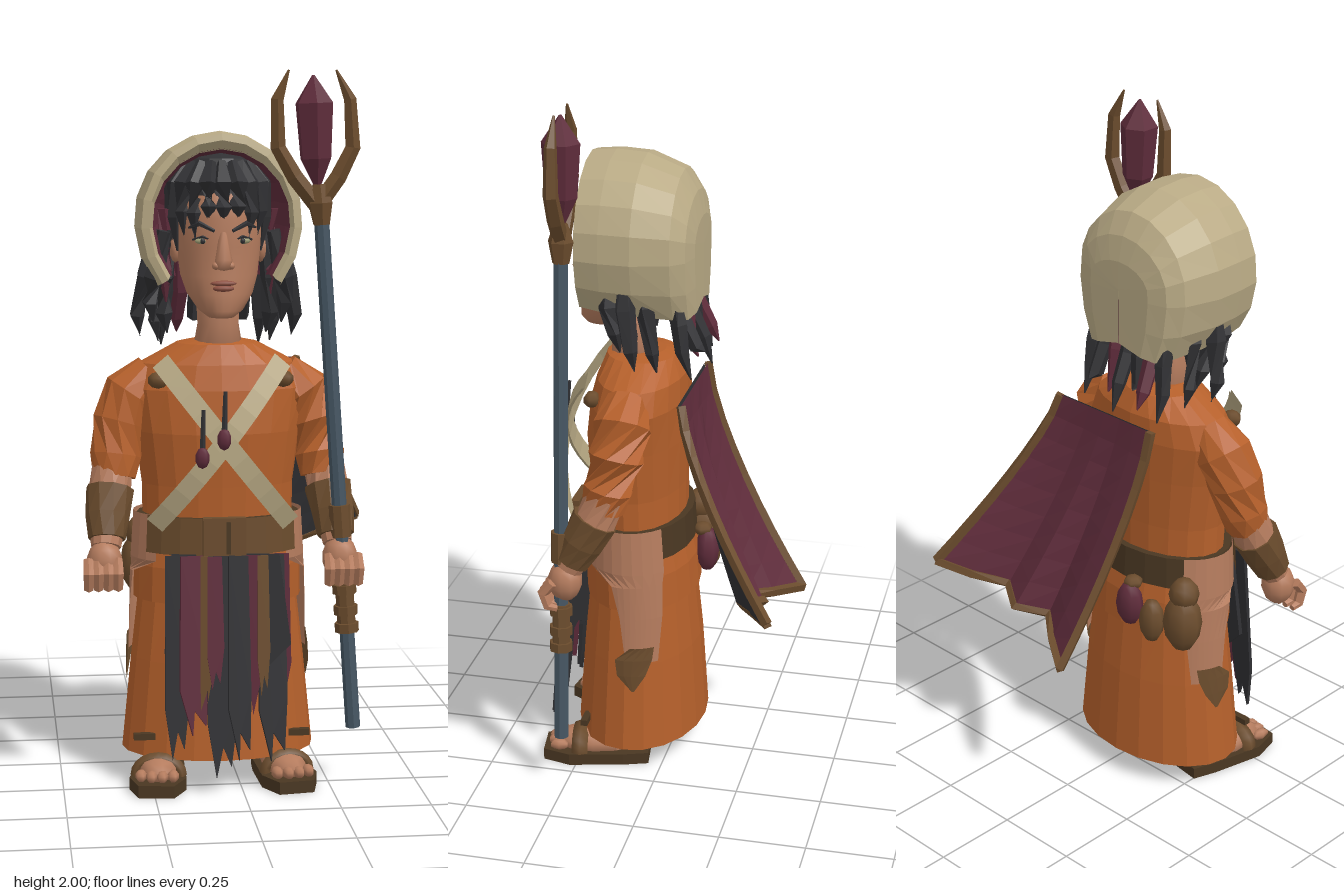
import * as THREE from 'three';

const V = (x, y, z) => new THREE.Vector3(x, y, z);
const CX = -0.05, CZ = 0.1; // body axis
const rad = THREE.MathUtils.degToRad;

// Skin a list of cross-section rows into one surface
function loft(rows, { closed = true, cap = true, smooth = false } = {}) {
  const n = rows[0].length, pos = [], idx = [];
  rows.forEach(r => r.forEach(p => pos.push(p.x, p.y, p.z)));
  const cols = closed ? n : n - 1;
  for (let i = 0; i < rows.length - 1; i++) for (let j = 0; j < cols; j++) {
    const a = i * n + j, b = i * n + (j + 1) % n;
    idx.push(a, b, b + n, a, b + n, a + n);
  }
  if (closed && cap) [0, rows.length - 1].forEach((i, end) => {
    const c = rows[i].reduce((s, p) => s.add(p), V(0, 0, 0)).divideScalar(n), k = pos.length / 3;
    pos.push(c.x, c.y, c.z);
    for (let j = 0; j < n; j++) {
      const a = i * n + j, b = i * n + (j + 1) % n;
      idx.push(...(end ? [a, b, k] : [b, a, k]));
    }
  });
  let g = new THREE.BufferGeometry();
  g.setAttribute('position', new THREE.Float32BufferAttribute(pos, 3));
  g.setIndex(idx);
  if (!smooth) g = g.toNonIndexed();
  g.computeVertexNormals();
  return g;
}

// Horizontal body sections: [y, halfWidth, zFront, zBack, startDeg, endDeg]
function body(sections, n = 20, opt = {}) {
  const closed = sections[0].length === 4;
  return loft(sections.map(([y, w, zf, zb, a0 = 0, a1 = 360]) =>
    Array.from({ length: closed ? n : n + 1 }, (_, j) => {
      const a = rad(a0 + (a1 - a0) * j / n);
      return V(CX + w * Math.sin(a), y, (zf + zb) / 2 + (zf - zb) / 2 * Math.cos(a));
    })), { closed, ...opt });
}

// Tapered sweep through points with one radius per point
function limb(pts, radii, n = 8, smooth = false) {
  return loft(pts.map((p, i) => {
    const t = pts[Math.min(i + 1, pts.length - 1)].clone().sub(pts[Math.max(i - 1, 0)]).normalize();
    const q = new THREE.Quaternion().setFromUnitVectors(V(0, 1, 0), t);
    return Array.from({ length: n }, (_, j) => {
      const a = j / n * Math.PI * 2;
      return V(Math.sin(a) * radii[i], 0, Math.cos(a) * radii[i]).applyQuaternion(q).add(p);
    });
  }), { smooth });
}

function ball(x, y, z, rx, ry, rz, n = 10) {
  return new THREE.SphereGeometry(1, n, Math.ceil(n * 0.7)).scale(rx, ry, rz).translate(x, y, z);
}
const box = (x, y, z, w, h, d) => new THREE.BoxGeometry(w, h, d).translate(x, y, z);

export function createModel() {
  const root = new THREE.Group();
  root.name = 'staffBearer';
  const mats = {};
  Object.entries({
    skin: 0xb57c5e, orangeCloth: 0xb5602b, cream: 0xb9aa85, brown: 0x6b4c2d, darkLeather: 0x4a3722,
    charcoal: 0x303033, maroon: 0x5f2c3b, slate: 0x465663, lip: 0x8c4f40, eye: 0x9b9a72,
  }).forEach(([name, color]) => {
    mats[name] = new THREE.MeshStandardMaterial({ color, side: THREE.DoubleSide });
    mats[name].name = name;
  });
  const add = (name, mat, geo) => {
    const m = new THREE.Mesh(geo, mats[mat]);
    m.name = name;
    root.add(m);
    return m;
  };

  // Tunic, skirt and hip flap
  add('tunic', 'orangeCloth', body([[0.66, 0.212, 0.235, -0.03], [0.85, 0.215, 0.245, -0.03], [1.0, 0.235, 0.255, -0.035],
    [1.12, 0.255, 0.24, -0.037], [1.19, 0.22, 0.222, -0.032], [1.245, 0.115, 0.2, -0.005], [1.255, 0.065, 0.17, 0.03]]));
  add('skirt', 'orangeCloth', body([[0.08, 0.275, 0.29, -0.092], [0.35, 0.248, 0.27, -0.075], [0.55, 0.225, 0.25, -0.055], [0.68, 0.215, 0.24, -0.04]]));
  add('hipFlap', 'orangeCloth', body([[0.52, 0.24, 0.262, -0.07], [0.62, 0.238, 0.262, -0.062], [0.69, 0.225, 0.25, -0.045]]));
  // Belt
  add('belt', 'darkLeather', body([[0.67, 0.237, 0.272, -0.056], [0.765, 0.23, 0.268, -0.05]]));
  add('beltPlate', 'brown', body([[0.665, 0.243, 0.285, -0.06, -60, 60], [0.77, 0.238, 0.283, -0.056, -60, 60]], 8));
  add('buckle', 'brown', box(CX, 0.718, 0.293, 0.12, 0.115, 0.025));
  add('buckleGap', 'darkLeather', box(CX + 0.01, 0.72, 0.307, 0.012, 0.09, 0.006)).rotation.z = 0;

  for (const s of [-1, 1]) {
    const side = s > 0 ? 'left' : 'right', P = (x, y, z) => V(CX + s * x, y, z);
    const arc = (y, w, zf, zb, a, b) => s > 0 ? [y, w, zf, zb, a, b] : [y, w, zf, zb, -b, -a];
    // Bare thigh at the skirt slit, with a ragged patch below
    add(side + 'Thigh', 'skin', body([arc(0.36, 0.256, 0.28, -0.08, 92, 122), arc(0.5, 0.252, 0.275, -0.078, 86, 126),
      arc(0.6, 0.25, 0.272, -0.07, 78, 128), arc(0.64, 0.248, 0.27, -0.068, 48, 130), arc(0.77, 0.24, 0.265, -0.055, 48, 130)], 8));
    add(side + 'Patch', 'brown', body([arc(0.27, 0.263, 0.285, -0.085, 98, 100), arc(0.32, 0.263, 0.283, -0.085, 84, 110),
      arc(0.37, 0.262, 0.283, -0.085, 82, 116), arc(0.41, 0.26, 0.282, -0.083, 96, 118)], 4));
    // Arm
    add(side + 'Sleeve', 'orangeCloth', limb([P(0.18, 1.16, 0.1), P(0.24, 1.1, 0.1), P(0.275, 1.02, 0.11), P(0.29, 0.93, 0.13), P(0.295, 0.87, 0.145)],
      [0.06, 0.084, 0.08, 0.072, 0.062], 10));
    add(side + 'Forearm', 'skin', limb([P(0.298, 0.91, 0.135), P(0.31, 0.83, 0.165), P(0.325, 0.69, 0.24)], [0.058, 0.06, 0.042], 10));
    add(side + 'Bracer', 'brown', limb([P(0.308, 0.84, 0.165), P(0.318, 0.77, 0.2), P(0.322, 0.71, 0.23)], [0.068, 0.062, 0.052], 10));
    add(side + 'Palm', 'skin', ball(CX + s * 0.33, 0.65, 0.25, 0.05, 0.062, 0.05));
    for (let k = 0; k < 4; k++) {
      const x = 0.295 + k * 0.027;
      add(side + 'Finger', 'skin', limb([P(x, 0.66, 0.275), P(x, 0.625, 0.303), P(x, 0.585, 0.29), P(x, 0.58, 0.262)], [0.015, 0.017, 0.015, 0.01], 6));
    }
    // Foot and sandal, turned outwards
    const foot = new THREE.Group();
    foot.name = side + 'Foot';
    foot.position.set(CX + s * 0.175, 0, 0.2);
    foot.rotation.y = s * 0.14;
    const part = (name, mat, geo) => foot.add(Object.assign(new THREE.Mesh(geo, mats[mat]), { name }));
    const sole = new THREE.Shape().moveTo(-0.05, -0.155).lineTo(0.05, -0.155).lineTo(0.065, -0.08).lineTo(0.08, 0.08)
      .lineTo(0.05, 0.16).lineTo(-0.05, 0.16).lineTo(-0.08, 0.08).lineTo(-0.065, -0.08);
    part('sole', 'darkLeather', new THREE.ExtrudeGeometry(sole, { depth: 0.035, bevelEnabled: false }).rotateX(Math.PI / 2).translate(0, 0.035, 0));
    part('footSkin', 'skin', ball(0, 0.05, 0.01, 0.06, 0.045, 0.125));
    part('ankle', 'skin', limb([V(0, 0.04, -0.06), V(0, 0.3, -0.06)], [0.05, 0.06]));
    for (let k = 0; k < 4; k++) part('toe', 'skin', ball(-0.045 + k * 0.03, 0.05, 0.125 - Math.abs(k - 1.5) * 0.008, 0.017, 0.017, 0.03, 6));
    part('strap', 'brown', new THREE.TorusGeometry(0.062, 0.014, 5, 10, Math.PI).scale(1.05, 0.85, 1.8).translate(0, 0.035, 0.05));
    root.add(foot);
    // Hem clips and strap clasps
    add(side + 'HemClip', 'darkLeather', box(CX + s * 0.22, 0.14, 0.225, 0.06, 0.018, 0.02));
    add(side + 'Clasp', 'brown', ball(CX + s * 0.175, 1.15, 0.205, 0.03, 0.024, 0.025, 6));
    // Crossed chest strap
    const c = new THREE.QuadraticBezierCurve3(P(-0.17, 1.205, 0.225), P(0, 0.985, 0.41 + s * 0.006), P(0.19, 0.75, 0.25));
    const w = V(s * 0.021, 0.018, 0);
    add(side + 'ChestStrap', 'cream', loft([-0.004, 0.004].flatMap(d => {
      const row = k => c.getPoints(10).map(p => p.add(V(0, 0, d)).addScaledVector(w, k));
      return d < 0 ? [row(1), row(-1)] : [row(-1), row(1)];
    }), { closed: false }));
  }
  // Chest charms
  [[-0.115, 0.95], [-0.055, 1.0]].forEach(([x, y]) => {
    add('charmCord', 'charcoal', limb([V(x, y, 0.335), V(x + 0.005, y + 0.13, 0.32)], [0.009, 0.006], 5));
    add('charm', 'maroon', ball(x, y, 0.337, 0.02, 0.03, 0.018, 6));
  });

  // Ragged front cloth: [x, width, bottom, z, colour]
  [[-0.045, 0.3, 0.3, 0.275, 'charcoal'], [-0.185, 0.06, 0.1, 0.285, 'charcoal'], [-0.14, 0.07, 0.17, 0.296, 'maroon'],
    [-0.1, 0.035, 0.24, 0.305, 'brown'], [-0.06, 0.075, 0.05, 0.3, 'charcoal'], [-0.015, 0.055, 0.1, 0.308, 'charcoal'],
    [0.022, 0.055, 0.2, 0.296, 'maroon'], [0.055, 0.03, 0.28, 0.305, 'brown'], [0.08, 0.07, 0.09, 0.29, 'charcoal'],
    [0.112, 0.04, 0.22, 0.282, 'maroon'], [-0.08, 0.04, 0.3, 0.312, 'maroon']].forEach(([x, w, bottom, z, mat], i) => {
    const h = 0.67 - bottom, d = w / 2, lean = (i % 3 - 1) * 0.012;
    const s = new THREE.Shape().moveTo(-d, 0).lineTo(-d * 1.15, -h * 0.75).lineTo(-d * 0.5 + lean, -h).lineTo(0, -h * 0.86)
      .lineTo(d * 0.6 + lean, -h * 0.95).lineTo(d * 1.2, -h * 0.68).lineTo(d, 0);
    const m = add('frontCloth', mat, new THREE.ExtrudeGeometry(s, { depth: 0.012, bevelEnabled: false }));
    m.position.set(x, 0.67, z);
    m.rotation.set(-0.09, (i % 3 - 1) * 0.15, 0);
  });

  // Pouches at the back of the belt
  add('pouch', 'brown', ball(-0.26, 0.59, -0.03, 0.06, 0.095, 0.055, 8));
  add('pouchFlap', 'brown', ball(-0.26, 0.68, -0.025, 0.045, 0.05, 0.045, 8));
  add('smallPouch', 'brown', ball(-0.18, 0.58, -0.075, 0.04, 0.07, 0.035, 8));
  add('redPouch', 'maroon', ball(-0.1, 0.61, -0.085, 0.045, 0.07, 0.035, 8));
  add('redPouchTie', 'brown', ball(-0.1, 0.675, -0.07, 0.03, 0.02, 0.03, 6));

  // Head and neck
  add('neck', 'skin', limb([V(CX, 1.2, 0.12), V(CX, 1.3, 0.13), V(CX, 1.42, 0.14)], [0.075, 0.058, 0.065], 12, true));
  add('head', 'skin', body([[1.325, 0.035, 0.262, 0.16], [1.345, 0.062, 0.278, 0.12], [1.39, 0.092, 0.276, 0.07], [1.44, 0.108, 0.274, 0.03],
    [1.52, 0.118, 0.268, 0.01], [1.6, 0.122, 0.277, 0], [1.68, 0.114, 0.258, 0.01], [1.75, 0.075, 0.21, 0.05], [1.775, 0.02, 0.15, 0.1]], 24, { smooth: true }));
  add('nose', 'skin', limb([V(CX, 1.465, 0.272), V(CX, 1.485, 0.28), V(CX, 1.56, 0.264)], [0.02, 0.024, 0.01], 8, true));
  add('upperLip', 'lip', ball(CX, 1.422, 0.273, 0.036, 0.008, 0.01));
  add('lowerLip', 'lip', ball(CX, 1.408, 0.273, 0.03, 0.009, 0.011));
  for (const s of [-1, 1]) {
    const x = CX + s * 0.055;
    add('nostril', 'skin', ball(CX + s * 0.02, 1.47, 0.272, 0.012, 0.011, 0.014, 8));
    add('eye', 'eye', ball(x, 1.537, 0.251, 0.022, 0.009, 0.008));
    add('pupil', 'charcoal', ball(x, 1.537, 0.256, 0.008, 0.008, 0.006, 8));
    add('eyelid', 'charcoal', limb([V(x - s * 0.025, 1.54, 0.26), V(x, 1.549, 0.258), V(x + s * 0.027, 1.54, 0.242)], [0.003, 0.004, 0.003], 5));
    add('brow', 'charcoal', limb([V(x - s * 0.03, 1.565, 0.275), V(x + s * 0.01, 1.585, 0.264), V(x + s * 0.038, 1.573, 0.243)], [0.005, 0.008, 0.003], 5));
    add('ear', 'skin', ball(CX + s * 0.12, 1.51, 0.13, 0.018, 0.04, 0.03, 8));
    // Locks hanging from the hood beside the face
    [[0.15, 0.15, 1.27, 0.1], [0.18, 0.19, 1.3, 0.13], [0.2, 0.225, 1.26, 0.08], [0.16, 0.17, 1.24, 0.03]].forEach(([a, b, y, z], i) =>
      add('sideLock', 'charcoal', limb([V(CX + s * a * 0.85, 1.56, z + 0.03), V(CX + s * a, 1.43, z + 0.02), V(CX + s * b, y + 0.06, z), V(CX + s * (b - 0.01), y, z - 0.01)],
        [0.02, 0.03, 0.026 - i * 0.002, 0.002], 5)));
    add('redLock', 'maroon', limb([V(CX + s * 0.15, 1.62, 0.13), V(CX + s * 0.15, 1.45, 0.13), V(CX + s * 0.145, 1.36, 0.12)], [0.02, 0.024, 0.003], 5));
  }
  // Hair cap, fringe and back locks
  add('hairCap', 'charcoal', body([[1.66, 0.128, 0.264, -0.015], [1.71, 0.122, 0.255, -0.01], [1.76, 0.085, 0.23, 0.03], [1.79, 0.02, 0.16, 0.1]], 16));
  for (let i = 0; i < 11; i++) {
    const a = rad(-95 + i * 19), k = Math.abs(i - 5) / 5, len = 0.05 + 0.1 * k + (i % 2) * 0.025;
    const at = (r, y) => V(CX + Math.sin(a) * r * 0.92, y, 0.13 + Math.cos(a) * r * 1.07);
    add('fringe', 'charcoal', limb([at(0.095, 1.75), at(0.13, 1.69), at(0.136, 1.66 - len * 0.4), at(0.13, 1.66 - len)], [0.014, 0.032, 0.024, 0.003], 5));
  }
  for (let i = 0; i < 7; i++) {
    const x = CX - 0.135 + i * 0.045, y = 1.22 + (i % 3) * 0.035, z = -0.065 - (i % 2) * 0.03;
    add('backLock', i % 3 === 1 ? 'maroon' : 'charcoal', limb([V(x, 1.47, -0.02), V(x, 1.38, -0.04), V(x * 1.05, 1.3, z + 0.015), V(x * 1.05, y, z - 0.01)],
      [0.02, 0.025, 0.021, 0.002], 5));
  }

  // Hood: arched sections from front to back, [z, halfWidth, top, bottom, scale]
  const arch = ([z, w, top, bottom]) => Array.from({ length: 15 }, (_, j) => {
    const a = rad(222 - j * 264 / 14), s = Math.sin(a), mid = 1.59;
    return V(CX + w * Math.cos(a), mid + (s > 0 ? s * (top - mid) : s / 0.669 * (mid - bottom)), z);
  });
  add('hood', 'cream', loft([[0.225, 0.19, 1.785, 1.44], [0.245, 0.2, 1.81, 1.43], [0.24, 0.222, 1.828, 1.42], [0.17, 0.23, 1.835, 1.41], [0.08, 0.231, 1.83, 1.405],
    [-0.025, 0.2, 1.79, 1.395], [-0.062, 0.165, 1.73, 1.39], [-0.078, 0.11, 1.66, 1.4], [-0.08, 0.001, 1.55, 1.42]].map(arch), { closed: false }));
  add('hoodLining', 'maroon', loft([[0.228, 0.193, 1.788, 1.44], [0.2, 0.18, 1.775, 1.44], [0.05, 0.175, 1.775, 1.43],
    [-0.04, 0.13, 1.7, 1.42], [-0.06, 0.001, 1.55, 1.43]].map(arch), { closed: false }));

  // Flying cape: straight top edge, folded lower edge
  const low = [[-0.105, 0.515, -0.375], [0, 0.54, -0.305], [0.085, 0.56, -0.235], [0.155, 0.585, -0.305], [0.235, 0.61, -0.255], [0.33, 0.63, -0.315], [0.43, 0.655, -0.365]];
  const cape = (i, v, off = 0) => {
    const [x, y, z] = low[i], x0 = -0.165 + i * 0.36 / 6;
    return V(x0 + (x - x0) * v ** 1.15, 1.18 + (y - 1.18) * v - off * 0.4, -0.07 + (z + 0.07) * v ** 1.4 + off);
  };
  const steps = Array.from({ length: 9 }, (_, k) => k / 8), cols = low.map((_, i) => i);
  add('capeOutside', 'maroon', loft(steps.map(v => cols.map(i => cape(6 - i, 1 - v))), { closed: false }));
  add('capeInside', 'charcoal', loft(steps.map(v => cols.map(i => cape(i, 1 - v, 0.012))), { closed: false }));
  [steps.map(v => cape(0, v)), steps.map(v => cape(6, v)), cols.map(i => cape(i, 1))].forEach(path =>
    add('capeTrim', 'brown', limb(path, path.map(() => 0.015), 4)));

  // Staff with grips, forked head and crystal
  const at = y => V(0.22 + (1.62 - y) / 1.46 * 0.1, y, 0.26);
  const rod = (name, mat, y0, y1, r) => add(name, mat, limb([at(y0), at(y1)], [r, r], 8));
  rod('staff', 'slate', 0.16, 1.63, 0.021);
  rod('grip', 'brown', 0.44, 0.58, 0.026);
  [0.45, 0.5, 0.56].forEach(y => rod('gripRing', 'brown', y - 0.013, y + 0.013, 0.034));
  rod('handWrap', 'brown', 0.71, 0.8, 0.03);
  add('forkBase', 'brown', limb([V(0.222, 1.58, 0.26), V(0.218, 1.64, 0.26), V(0.215, 1.69, 0.26)], [0.024, 0.036, 0.02], 6));
  for (const s of [-1, 1])
    add('prong', 'brown', limb([[0.0, 1.63], [0.06, 1.71], [0.103, 1.79], [0.1, 1.92], [0.065, 1.999]].map(([x, y]) => V(0.21 - (y - 1.62) * 0.04 + s * x, y, 0.26)),
      [0.024, 0.024, 0.022, 0.018, 0.003], 5));
  add('crystal', 'maroon', limb([V(0.21, 1.69, 0.26), V(0.205, 1.76, 0.26), V(0.2, 1.91, 0.26), V(0.197, 1.985, 0.26)], [0.012, 0.045, 0.055, 0.004], 6));
  return root;
}
